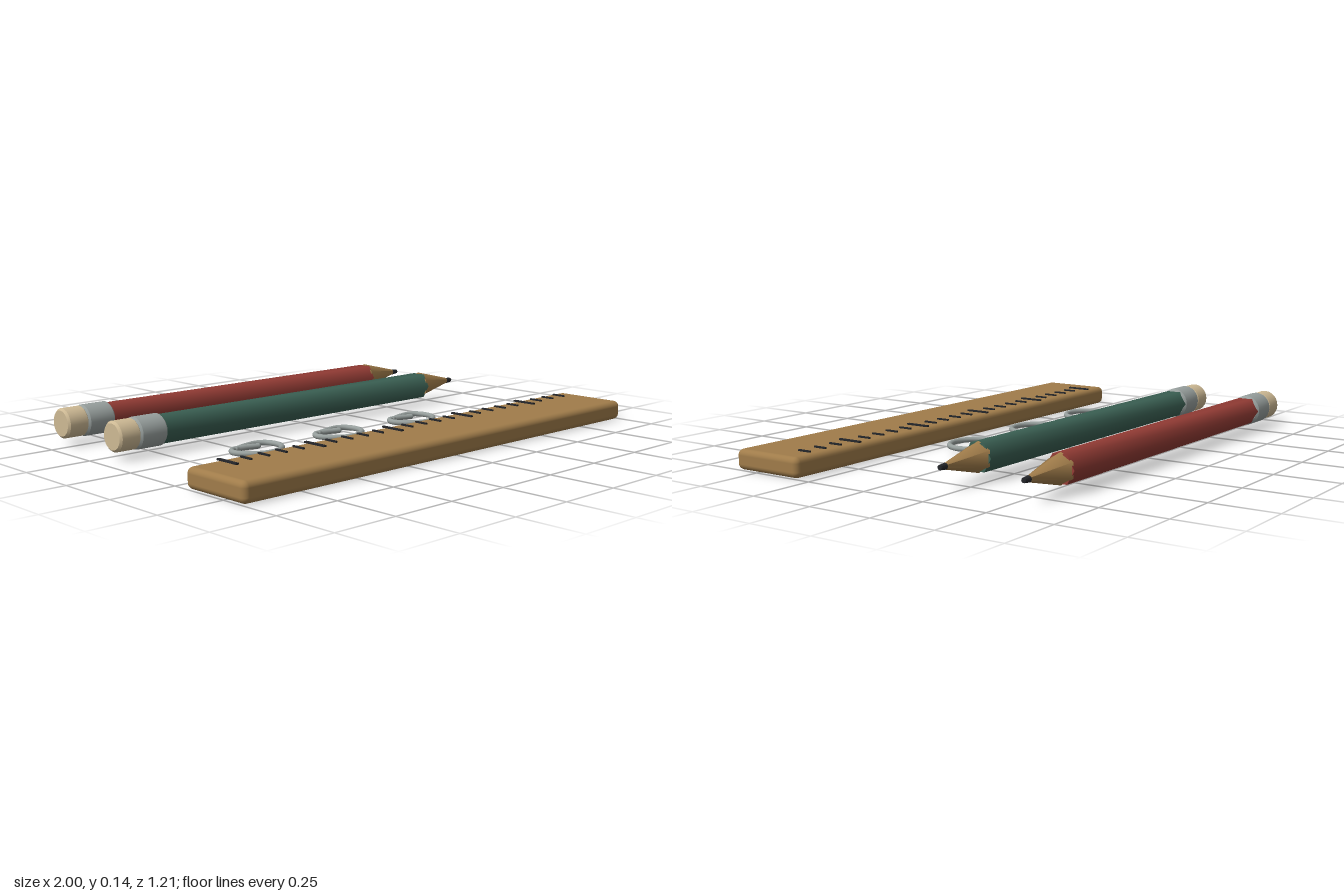
import * as THREE from 'three';
import { RoundedBoxGeometry } from 'three/addons/geometries/RoundedBoxGeometry.js';
import { toCreasedNormals } from 'three/addons/utils/BufferGeometryUtils.js';

const material = (name, color) => Object.assign(new THREE.MeshStandardMaterial({ color }), { name });

export function createModel() {
  const wood = material('wood', 0xa07c4a);
  const red = material('red paint', 0x943c35);
  const green = material('green paint', 0x3b6154);
  const metal = material('metal', 0x979f9d);
  const rubber = material('eraser', 0xcdb994);
  const dark = material('graphite', 0x24262a);
  const model = new THREE.Group();
  model.name = 'stationery';

  function add(parent, name, geometry, mat, x = 0, y = 0, z = 0) {
    const mesh = new THREE.Mesh(geometry, mat);
    mesh.name = name;
    mesh.position.set(x, y, z);
    parent.add(mesh);
    return mesh;
  }

  // Geometry along x, from x0 (radius r0) to x1 (radius r1)
  function rod(x0, x1, r0, r1, sides, turn = 0) {
    return toCreasedNormals(new THREE.CylinderGeometry(r1, r0, x1 - x0, sides)
      .rotateY(turn).rotateZ(-Math.PI / 2).translate((x0 + x1) / 2, 0, 0), 1.2);
  }

  // Round sleeve along x with chamfered ends
  function sleeve(x0, x1, r, c) {
    const profile = [[0, x0], [r - c, x0], [r, x0 + c], [r, x1 - c], [r - c, x1], [0, x1]];
    const lathe = new THREE.LatheGeometry(profile.map(([a, b]) => new THREE.Vector2(a, b)), 24);
    return toCreasedNormals(lathe.rotateZ(-Math.PI / 2), 0.6);
  }

  // Ruler with a long mark at every fifth division
  const ruler = new THREE.Group();
  ruler.name = 'ruler';
  model.add(ruler);
  add(ruler, 'rulerBody', new RoundedBoxGeometry(2, 0.075, 0.296, 3, 0.022), wood, 0, 0.0395, 0.453);
  for (let i = 0; i < 24; i++) {
    const major = i % 5 === 0;
    const geometry = new THREE.BoxGeometry(major ? 0.012 : 0.008, 0.006, major ? 0.1 : 0.055);
    add(ruler, major ? 'longMark' : 'shortMark', geometry, dark, -0.868 + i * 0.077, 0.081, 0.36);
  }

  // Hexagonal pencils
  for (const [name, paint, z] of [['greenPencil', green, -0.212], ['redPencil', red, -0.546]]) {
    const pencil = new THREE.Group();
    pencil.name = name;
    pencil.position.set(0, 0.084, z);
    model.add(pencil);
    add(pencil, 'eraser', sleeve(-0.93, -0.84, 0.057, 0.008), rubber);
    add(pencil, 'ferrule', sleeve(-0.845, -0.725, 0.06, 0.009), metal);
    add(pencil, 'barrel', rod(-0.735, 0.662, 0.057, 0.057, 6), paint);
    add(pencil, 'sharpenedWood', rod(0.655, 0.84, 0.056, 0.011, 6, Math.PI / 6), wood);
    add(pencil, 'lead', rod(0.837, 0.866, 0.012, 0.009, 10), dark);
  }

  // Bent wire clips lying flat
  const wire = [[0.032, 0.075], [-0.02, 0.062], [-0.075, 0.062], [-0.102, 0.098], [-0.086, 0.145],
    [-0.04, 0.181], [0.018, 0.186], [0.075, 0.157], [0.102, 0.105], [0.092, 0.055],
    [0.058, 0.034], [0.01, 0.04], [-0.06, 0.062]];
  const path = new THREE.CatmullRomCurve3(wire.map(([x, z]) => new THREE.Vector3(x, 0, z)));
  const clipGeometry = new THREE.TubeGeometry(path, 80, 0.0105, 10);
  for (let i = 0; i < 3; i++) {
    const clip = new THREE.Group();
    clip.name = 'paperClip';
    clip.position.set(-0.532 + i * 0.402, 0.032, 0);
    model.add(clip);
    add(clip, 'wire', clipGeometry, metal);
    for (const [x, z] of [wire[0], wire[wire.length - 1]]) {
      add(clip, 'wireEnd', new THREE.SphereGeometry(0.0105, 10, 8), metal, x, 0, z);
    }
  }
  return model;
}
